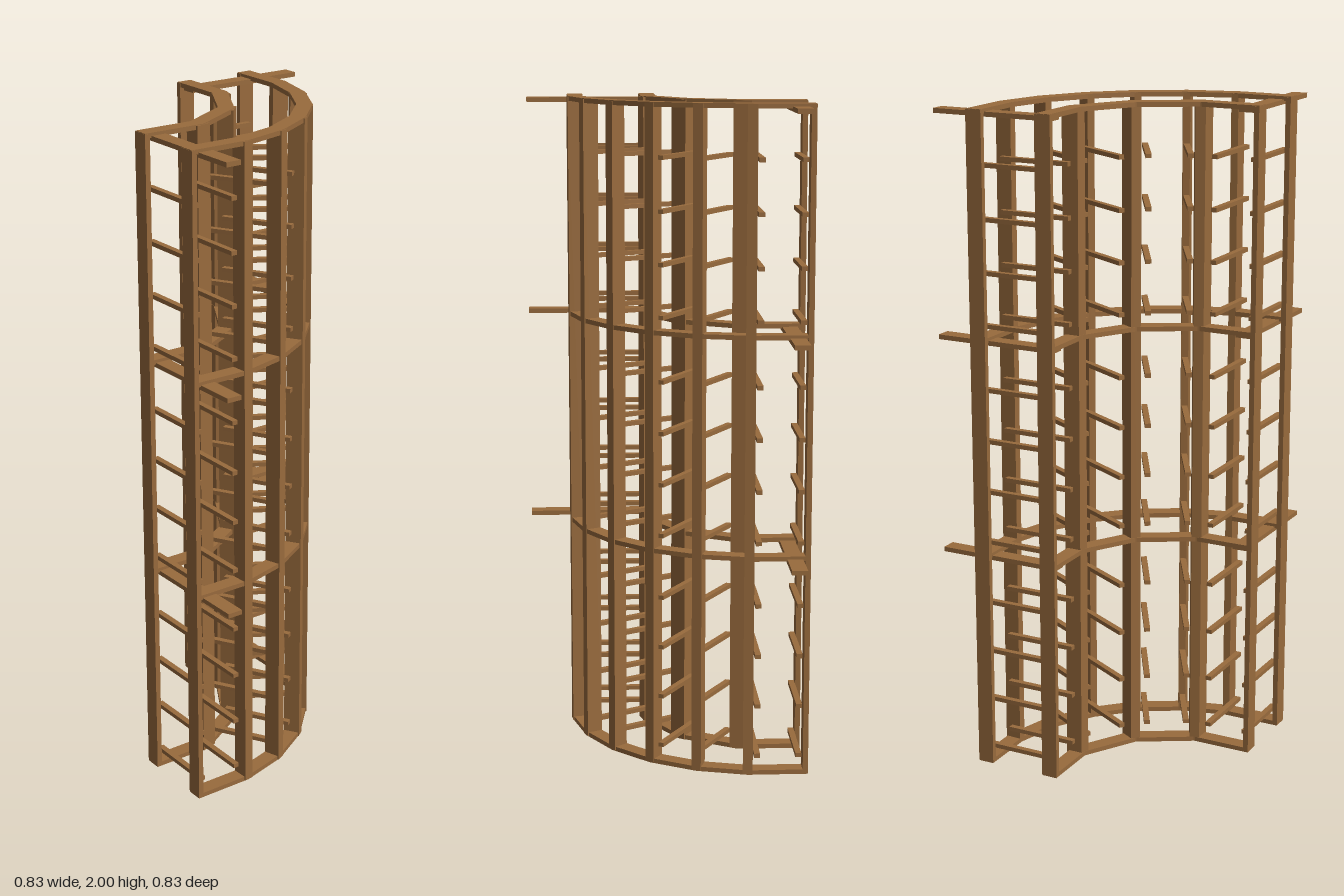
import * as THREE from 'three';

const RAIL_W = 0.047, RAIL_H = 0.014;
const LEVELS = [0, 0.664, 1.324, 1.986];
const rad = THREE.MathUtils.degToRad;
const outward = (deg) => [Math.sin(rad(deg)), -Math.cos(rad(deg))];

// Quarter-turn path in plan: a straight, equal angled segments, a straight
function makePath(z0, headings, length, bendX) {
  const points = [[-0.415, z0], [bendX, z0]];
  for (const h of headings) {
    const [x, z] = points[points.length - 1];
    points.push([x + length * Math.cos(rad(h)), z + length * Math.sin(rad(h))]);
  }
  const last = points[points.length - 1];
  points.push([last[0], 0.415]);
  return { points, headings: [0, ...headings, 90] };
}

// Extrude a plan outline upward from y = 0
function slab(outline, height) {
  const shape = new THREE.Shape(outline.map(([x, z]) => new THREE.Vector2(x, z)));
  const geo = new THREE.ExtrudeGeometry(shape, { depth: height, bevelEnabled: false });
  return geo.rotateX(Math.PI / 2).translate(0, height, 0);
}

// Rail outline: rounded joints outside, mitred joints inside
function railGeometry({ points, headings }) {
  const outer = [], inner = [], r = RAIL_W / 2;
  points.forEach(([x, z], i) => {
    const a = headings[Math.max(i - 1, 0)];
    const b = headings[Math.min(i, headings.length - 1)];
    const steps = a === b ? 0 : 3;
    for (let k = 0; k <= steps; k++) {
      const [nx, nz] = outward(a + (b - a) * (steps ? k / steps : 0));
      outer.push([x + nx * r, z + nz * r]);
    }
    const [mx, mz] = outward((a + b) / 2);
    const m = r / Math.cos(rad((b - a) / 2));
    inner.push([x - mx * m, z - mz * m]);
  });
  return slab([...outer, ...inner.reverse()], RAIL_H);
}

// Wedge-shaped post standing on a joint, wider on its outward side
function postGeometry([x, z], deg, outerW, innerW) {
  const [nx, nz] = outward(deg), r = 0.025;
  const corner = (n, t) => [x + nx * n - nz * t, z + nz * n + nx * t];
  return slab([corner(r, -outerW / 2), corner(r, outerW / 2),
    corner(-r, innerW / 2), corner(-r, -innerW / 2)], 1.996).translate(0, 0.002, 0);
}

export function createModel() {
  const model = new THREE.Group();
  model.name = 'curvedRack';
  const wood = new THREE.MeshStandardMaterial({ color: 0x996b3d });
  wood.name = 'wood';

  const add = (name, geo, y = 0, parent = model) => {
    const mesh = new THREE.Mesh(geo, wood);
    mesh.name = name;
    mesh.position.y = y;
    parent.add(mesh);
    return mesh;
  };

  // Bar between two plan points
  const bar = (name, [x1, z1], [x2, z2], width, height, y) => {
    const geo = new THREE.BoxGeometry(Math.hypot(x2 - x1, z2 - z1), height, width);
    const mesh = add(name, geo, y);
    mesh.position.set((x1 + x2) / 2, y, (z1 + z2) / 2);
    mesh.rotation.y = -Math.atan2(z2 - z1, x2 - x1);
  };

  // Curved rails and their posts
  const sides = [
    { name: 'outer', path: makePath(-0.268, [15, 30, 45, 60, 75], 0.152, -0.237), wide: 0.03, narrow: 0.022 },
    { name: 'inner', path: makePath(-0.045, [30, 60], 0.198, -0.23), wide: 0.055, narrow: 0.03 },
  ];
  for (const { name, path, wide, narrow } of sides) {
    const { points, headings } = path;
    const rail = railGeometry(path);
    for (const y of LEVELS) add(name + 'Rail', rail, y);
    for (let i = 1; i < points.length - 1; i++) {
      const deg = (headings[i - 1] + headings[i]) / 2;
      add(name + 'JointPost', postGeometry(points[i], deg, wide, narrow));
    }
    const [x0, z0] = points[0], [x1, z1] = points[points.length - 1];
    add(name + 'EndPost', postGeometry([x0 + 0.007, z0], 0, 0.016, 0.016));
    add(name + 'EndPost', postGeometry([x1, z1 - 0.007], 90, 0.016, 0.016));
  }

  // Rungs joining the inner and outer posts, mirrored across the diagonal
  const mirror = ([x, z]) => [-z, -x];
  const rungs = [
    [[-0.389, -0.27], [-0.389, -0.045]],
    [[-0.264, -0.27], [-0.264, -0.045]],
    [[-0.085, -0.222], [-0.194, -0.033]],
    [[0.022, -0.16], [-0.088, 0.03]],
  ];
  for (let section = 0; section < 3; section++) {
    for (let k = 0; k < 4; k++) {
      const y = 0.052 + section * 0.66 + k * 0.156;
      for (const [a, b] of rungs) {
        bar('rung', a, b, 0.018, 0.013, y);
        bar('rung', mirror(a), mirror(b), 0.018, 0.013, y);
      }
    }
  }

  // Tie bars reaching out past the outer rail at both ends
  for (const y of LEVELS.slice(1)) {
    const a = [-0.37, -0.415], b = [-0.37, -0.03];
    bar('tieBar', a, b, RAIL_W, 0.014, y - 0.002);
    bar('tieBar', mirror(a), mirror(b), RAIL_W, 0.014, y - 0.002);
  }
  return model;
}
